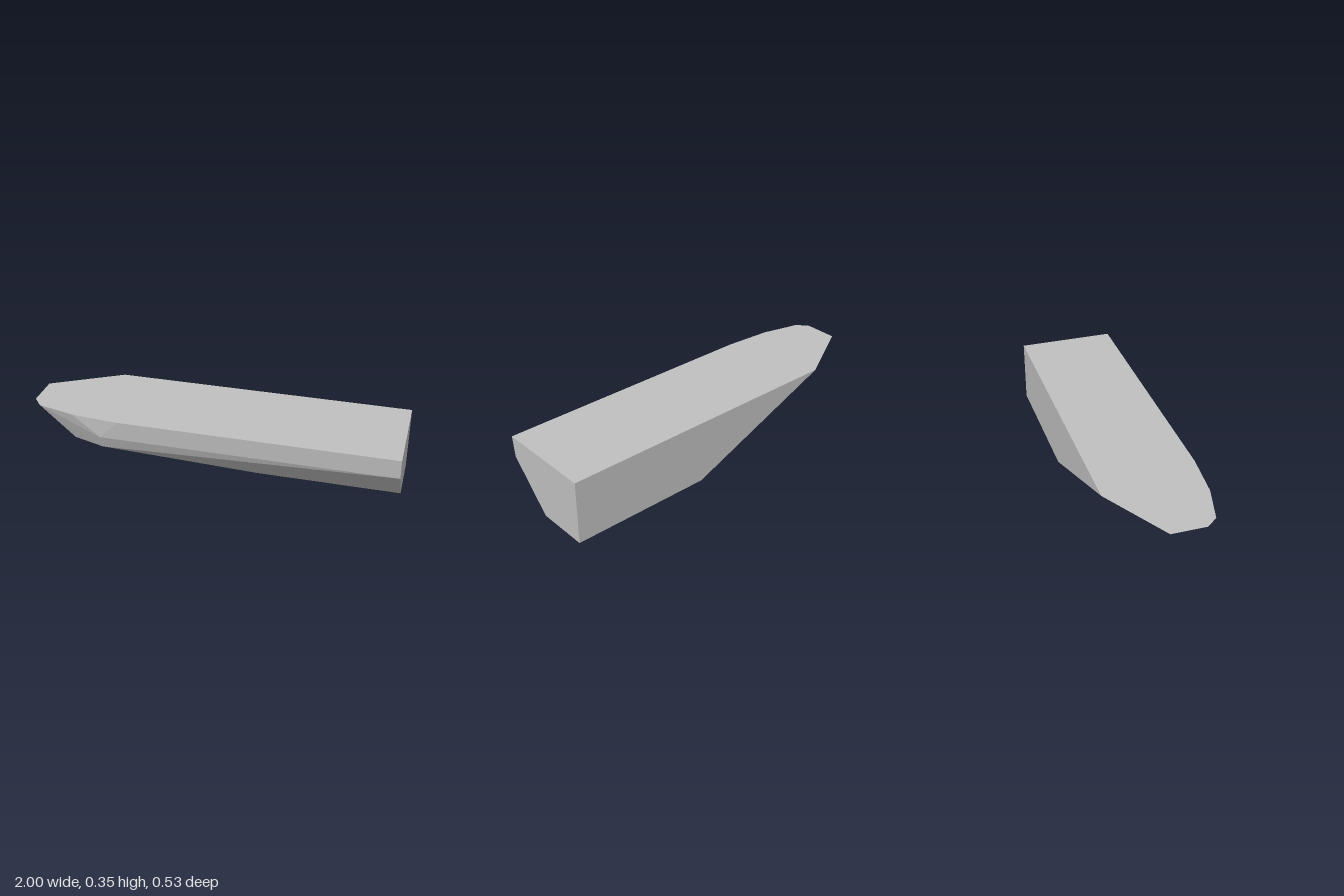
import * as THREE from 'three';
import { ConvexGeometry } from 'three/addons/geometries/ConvexGeometry.js';

export function createModel() {
  const group = new THREE.Group();
  group.name = 'facetedHull';

  const grey = new THREE.MeshStandardMaterial({ color: 0xc0c0c0 });
  grey.name = 'plain grey';

  const deckY = 0.35, back = -0.267;

  // Flat deck outline as [x, z]: straight sides, blunt faceted bow
  const deck = [
    [1, 0.267], [-0.48, 0.267], [-0.74, 0.245], [-0.95, 0.19],
    [-1, 0.13], [-1, -0.055], [-0.625, back], [1, back],
  ].map(([x, z]) => [x, deckY, z]);

  // Chine: bevel under the front edge
  const chine = [[1, 0.238, 0.252], [-0.59, 0.238, 0.252]];

  // Underside of the raised bow
  const bow = [[-0.59, 0.16, 0.217], [-0.77, 0.16, 0.16], [-0.77, 0.16, 0.08]];

  // Flat keel, running from the stern to the start of the bow's rise
  const keel = [];
  for (const x of [0.22, 1]) for (const z of [0.02, back]) keel.push([x, 0, z]);

  const points = [...deck, ...chine, ...bow, ...keel].map((p) => new THREE.Vector3(...p));
  const hull = new THREE.Mesh(new ConvexGeometry(points), grey);
  hull.name = 'hull';
  group.add(hull);
  return group;
}
